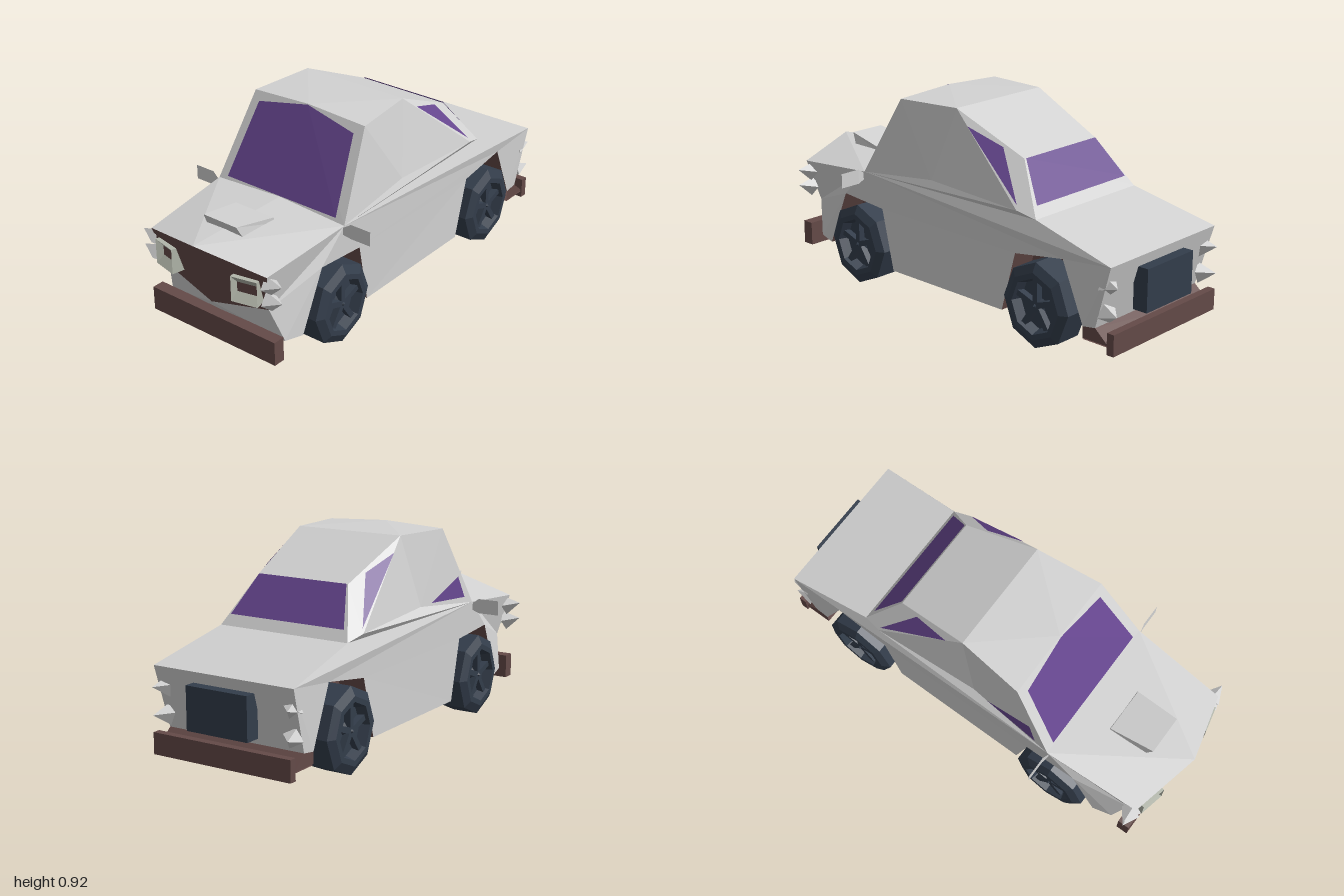
import * as THREE from 'three';

const D = THREE.DoubleSide;
const mat = (name, color) => Object.assign(new THREE.MeshStandardMaterial({ color, side: D }), { name });

export function createModel() {
  const paint = mat('pale paint', 0xd2d2d2);
  const trim = mat('brown trim', 0x644a48);
  const glass = mat('purple glass', 0x66468f);
  const rubber = mat('dark rubber', 0x333d4b);
  const lamp = mat('lamp grey', 0xb2b6aa);

  const car = new THREE.Group();
  car.name = 'car';

  // ---- helpers ----
  const flat = (g) => {
    const n = g.index ? g.toNonIndexed() : g;
    n.deleteAttribute('normal');
    n.computeVertexNormals();
    return n;
  };
  const add = (name, geo, m, parent = car) => {
    const mesh = new THREE.Mesh(geo, m);
    mesh.name = name;
    parent.add(mesh);
    return mesh;
  };
  // faces: corner loops, each split as a fan
  const poly = (name, m, faces, parent) => {
    const v = [];
    for (const f of faces)
      for (let i = 1; i < f.length - 1; i++) v.push(...f[0], ...f[i], ...f[i + 1]);
    const g = new THREE.BufferGeometry();
    g.setAttribute('position', new THREE.Float32BufferAttribute(v, 3));
    g.computeVertexNormals();
    return add(name, g, m, parent);
  };
  const box = (name, m, x0, x1, y0, y1, z0, z1) =>
    add(name, new THREE.BoxGeometry(x1 - x0, y1 - y0, z1 - z0), m)
      .position.set((x0 + x1) / 2, (y0 + y1) / 2, (z0 + z1) / 2);
  const flip = ([x, y, z]) => [-x, y, z];
  const both = (...pts) => [...pts, ...pts.slice().reverse().map(flip)];
  // concave side outline, triangulated in z and y
  const panel = (name, m, pts) => {
    const tris = THREE.ShapeUtils.triangulateShape(pts.map((p) => new THREE.Vector2(p[2], p[1])), []);
    return poly(name, m, tris.map((t) => t.map((i) => pts[i])));
  };
  // point lying just outside the plane a, b, c
  const onPlane = (a, b, c, z, y) => {
    const [A, B, C] = [a, b, c].map((p) => new THREE.Vector3(...p));
    const n = B.sub(A).cross(C.sub(A));
    return [A.x - (n.y * (y - A.y) + n.z * (z - A.z)) / n.x + 0.005, y, z];
  };

  // ---- key points of the +x half ----
  const noseTop = [0, 0.565, 1], noseLow = [0, 0.26, 0.91];
  const fender = [0.32, 0.5, 0.92], cheek = [0.28, 0.31, 0.87], chin = [0.32, 0.15, 0.82];
  const cowl = [0.35, 0.545, 0.47], roofFront = [0.3, 0.91, 0.27], roofMid = [0.265, 0.915, -0.04];
  const roofBack = [0.23, 0.755, -0.4], belt = [0.345, 0.57, -0.46], deck = [0.325, 0.545, -0.55];
  const tail = [0.35, 0.45, -0.965], tailLow = [0.34, 0.17, -0.885];
  const archFront = [[0.34, 0.14, 0.73], [0.345, 0.41, 0.61], [0.345, 0.39, 0.36], [0.34, 0.105, 0.3]];
  const archBack = [[0.34, 0.105, -0.375], [0.34, 0.38, -0.45], [0.34, 0.42, -0.71], [0.34, 0.16, -0.82]];

  // ---- body shell ----
  poly('hood', paint, [[noseTop, fender, cowl, [0, 0.565, 0.47]],
    [noseTop, flip(fender), flip(cowl), [0, 0.565, 0.47]], [cowl, [0, 0.565, 0.47], flip(cowl)]]);
  poly('grille', trim, [[noseTop, fender, cheek, noseLow], [noseTop, flip(fender), flip(cheek), noseLow]]);
  poly('frontValance', paint, [[noseLow, cheek, chin, [0, 0.15, 0.83]],
    [noseLow, flip(cheek), flip(chin), [0, 0.15, 0.83]]]);
  poly('windshieldFrame', paint, [[[0, 0.925, 0.27], ...[roofFront, cowl, flip(cowl), flip(roofFront)]]]);
  poly('windshield', glass, [[[0, 0.924, 0.276], ...both([0.26, 0.875, 0.295], [0.302, 0.565, 0.467])]]);
  poly('roof', paint, [[[0, 0.925, 0.27], roofFront, roofMid, flip(roofMid), flip(roofFront)],
    both(roofMid, roofBack)]);
  poly('rearWindowFrame', paint, [both(roofBack, deck)]);
  poly('rearWindow', glass, [both([0.225, 0.757, -0.405], [0.29, 0.592, -0.525])]);
  poly('trunkLid', paint, [both(deck, tail)]);
  poly('tailPanel', paint, [both(tail, tailLow)]);

  for (const s of [1, -1]) {
    const side = (p) => (s > 0 ? p : flip(p));
    const sill = [s > 0 ? 0.335 : 0.318, 0.59, 0.05];
    panel('lowerSide', paint, [fender, cheek, chin, ...archFront, ...archBack, tailLow, tail, deck, belt, cowl].map(side));
    poly('cabSide', paint, [[cowl, roofFront, sill], [sill, roofFront, roofMid], [sill, roofMid, belt],
      [roofMid, roofBack, belt], [roofBack, deck, belt], [cowl, sill, belt]].map((f) => f.map(side)));

    // slim side glass
    const quarter = [[-0.12, 0.853], [-0.3, 0.79], [-0.455, 0.59], [-0.315, 0.745]];
    poly('rearSideWindow', glass, [quarter.map(([z, y]) => side(onPlane(roofMid, roofBack, belt, z, y)))]);
    if (s < 0) {
      const vent = [[0.13, 0.595], [0.4, 0.58], [0.36, 0.68]];
      poly('frontSideWindow', glass, [vent.map(([z, y]) => side(onPlane(cowl, roofFront, sill, z, y)))]);
    }

    // wheel wells
    for (const arch of [archFront, archBack]) {
      const inner = arch.map(([, y, z]) => [0.21, y, z]);
      const faces = [inner];
      for (let i = 0; i < 3; i++) faces.push([arch[i], arch[i + 1], inner[i + 1], inner[i]]);
      poly('wheelWell', trim, faces.map((f) => f.map(side)));
    }
    poly('rearSkirt', trim, [[archBack[3], tailLow, [0.34, 0.11, -0.955], [0.34, 0.11, -0.82]].map(side)]);

    // flat mirrors
    poly('mirror', paint, [[[0.385, 0.495, 0.47], [0.485, 0.495, 0.47], [0.485, 0.562, 0.47], [0.385, 0.562, 0.47]],
      [[0.335, 0.51, 0.48], [0.385, 0.495, 0.47], [0.385, 0.562, 0.47], [0.335, 0.53, 0.48]]].map((f) => f.map(side)));

    // recessed headlight frame
    const light = new THREE.Group();
    light.name = 'headlight';
    light.position.set(s * 0.215, 0.412, 0.918);
    light.rotation.y = s * 0.22;
    car.add(light);
    const ring = (w, h, z) => [[-w, -h, z], [w, -h, z], [w, h, z], [-w, h, z]];
    const rings = [ring(0.06, 0.058, -0.03), ring(0.06, 0.058, 0.034), ring(0.046, 0.022, 0.006)];
    const frame = [];
    for (let r = 0; r < 2; r++)
      for (let i = 0; i < 4; i++) {
        const j = (i + 1) % 4;
        frame.push([rings[r][i], rings[r][j], rings[r + 1][j], rings[r + 1][i]]);
      }
    poly('headlightFrame', lamp, frame, light);
    poly('headlightCentre', trim, [ring(0.046, 0.022, 0.006)], light);

    // pointed corner lamps
    const spike = (name, x, y, z, dir) => {
      const m = add(name, flat(new THREE.ConeGeometry(0.045, 0.08, 4)), paint);
      m.position.set(s * x, y, z);
      m.quaternion.setFromUnitVectors(new THREE.Vector3(0, 1, 0), new THREE.Vector3(s * dir[0], dir[1], dir[2]).normalize());
    };
    for (const y of [0.46, 0.385]) spike('frontCornerLamp', 0.345, y, 0.9, [1, 0.25, 0.1]);
    for (const y of [0.36, 0.24]) spike('rearCornerLamp', 0.325, y, -0.955, [0.35, 0.1, -1]);
  }

  // ---- floor, bumpers and small parts ----
  const slab = (w, z0, z1) => [[w, 0.105, z0], [w, 0.105, z1], [-w, 0.105, z1], [-w, 0.105, z0]];
  poly('floor', trim, [slab(0.21, 0.82, 0.3), slab(0.34, 0.3, -0.375), slab(0.21, -0.375, -0.82), slab(0.34, -0.82, -0.955),
    both(tailLow, [0.34, 0.11, -0.955]), both([0.3, 0.15, 0.82], [0.21, 0.105, 0.74])]);
  box('frontBumper', trim, -0.335, 0.35, 0.095, 0.205, 0.865, 0.92);
  box('rearBumper', trim, -0.345, 0.345, 0.075, 0.17, -0.985, -0.95);
  box('rearPlate', rubber, -0.15, 0.155, 0.21, 0.4, -1, -0.93);

  // hood scoop with a leaning mouth
  const sTop = both([0.09, 0.61, 0.84], [0.105, 0.57, 0.63]);
  const sLow = both([0.1, 0.55, 0.81], [0.105, 0.54, 0.62]);
  poly('hoodScoop', paint, [sTop, ...[0, 1, 2, 3].map((i) => [sTop[i], sTop[(i + 1) % 4], sLow[(i + 1) % 4], sLow[i]])]);

  // ---- wheels ----
  const profile = [[0, -0.07], [0.18, -0.07], [0.19, -0.06], [0.19, 0.065], [0.15, 0.085], [0.125, 0.085], [0.11, 0.04], [0, 0.04]]
    .map(([r, w]) => new THREE.Vector2(r, w));
  const tyre = flat(new THREE.LatheGeometry(profile, 8).rotateZ(-Math.PI / 2));
  const hub = flat(new THREE.ConeGeometry(0.04, 0.04, 5).rotateZ(-Math.PI / 2).translate(0.06, 0, 0));
  const spoke = new THREE.BoxGeometry(0.03, 0.12, 0.026).translate(0.055, 0.06, 0);
  for (const s of [1, -1])
    for (const z of [0.505, -0.59]) {
      const wheel = new THREE.Group();
      wheel.name = z > 0 ? 'frontWheel' : 'rearWheel';
      wheel.position.set(s * 0.302, 0.192, z);
      wheel.rotation.y = s > 0 ? 0 : Math.PI;
      wheel.scale.z = 0.93;
      car.add(wheel);
      add('tyre', tyre, rubber, wheel);
      add('hub', hub, rubber, wheel);
      for (let i = 0; i < 5; i++) add('spoke', spoke, rubber, wheel).rotation.x = (i * Math.PI * 2) / 5;
    }

  return car;
}
